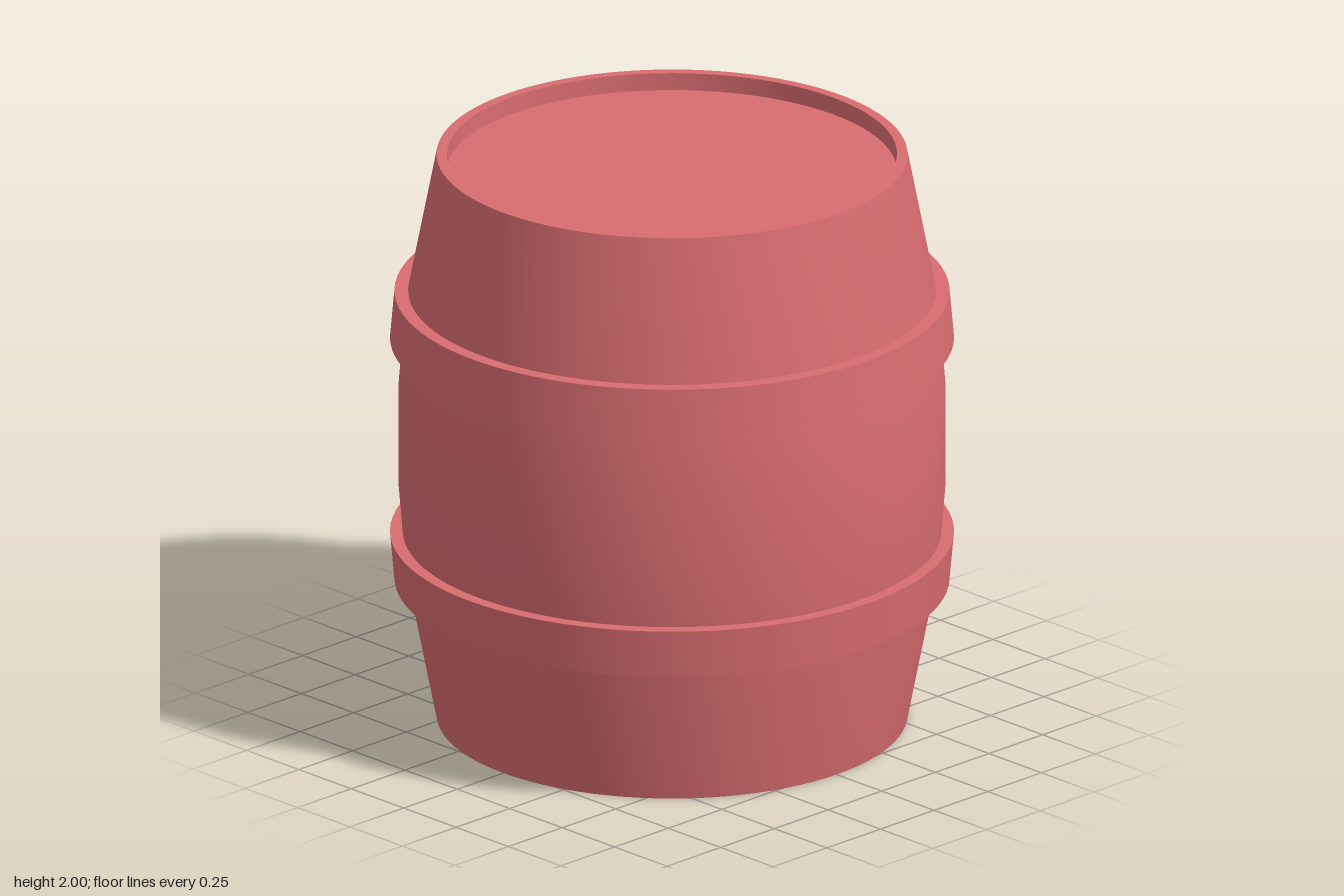
import * as THREE from 'three';
import { toCreasedNormals } from 'three/addons/utils/BufferGeometryUtils.js';

const SEGMENTS = 96;

export function createModel() {
  const barrel = new THREE.Group();
  barrel.name = 'barrel';
  const material = new THREE.MeshStandardMaterial({ color: 0xd86c70 });

  const add = (name, geometry) => {
    const mesh = new THREE.Mesh(geometry, material);
    mesh.name = name;
    barrel.add(mesh);
    return mesh;
  };
  const lathe = (points) => toCreasedNormals(
    new THREE.LatheGeometry(points.map(([r, y]) => new THREE.Vector2(r, y)), SEGMENTS), 0.5);
  const flip = (points) => points.map(([r, y]) => [r, 2 - y]).reverse();

  // Bulging wall with a rim at each end, mirrored about mid height
  const lowerWall = [[0.75, 0.06], [0.75, 0], [0.785, 0], [0.88, 0.49], [0.897, 0.65], [0.912, 0.83]];
  add('wall', lathe([...lowerWall, ...flip(lowerWall)]));

  // Hoops: slanted rings that follow the bulge
  const hoop = [[0.86, 0.487], [0.925, 0.487], [0.94, 0.655], [0.86, 0.655]];
  add('lowerHoop', lathe(hoop));
  add('upperHoop', lathe(flip(hoop)));

  // Flat heads recessed inside the rims
  for (const [name, y, turn] of [['topHead', 1.94, -1], ['bottomHead', 0.06, 1]]) {
    const head = add(name, new THREE.CircleGeometry(0.75, SEGMENTS));
    head.rotation.x = turn * Math.PI / 2;
    head.position.y = y;
  }
  return barrel;
}
